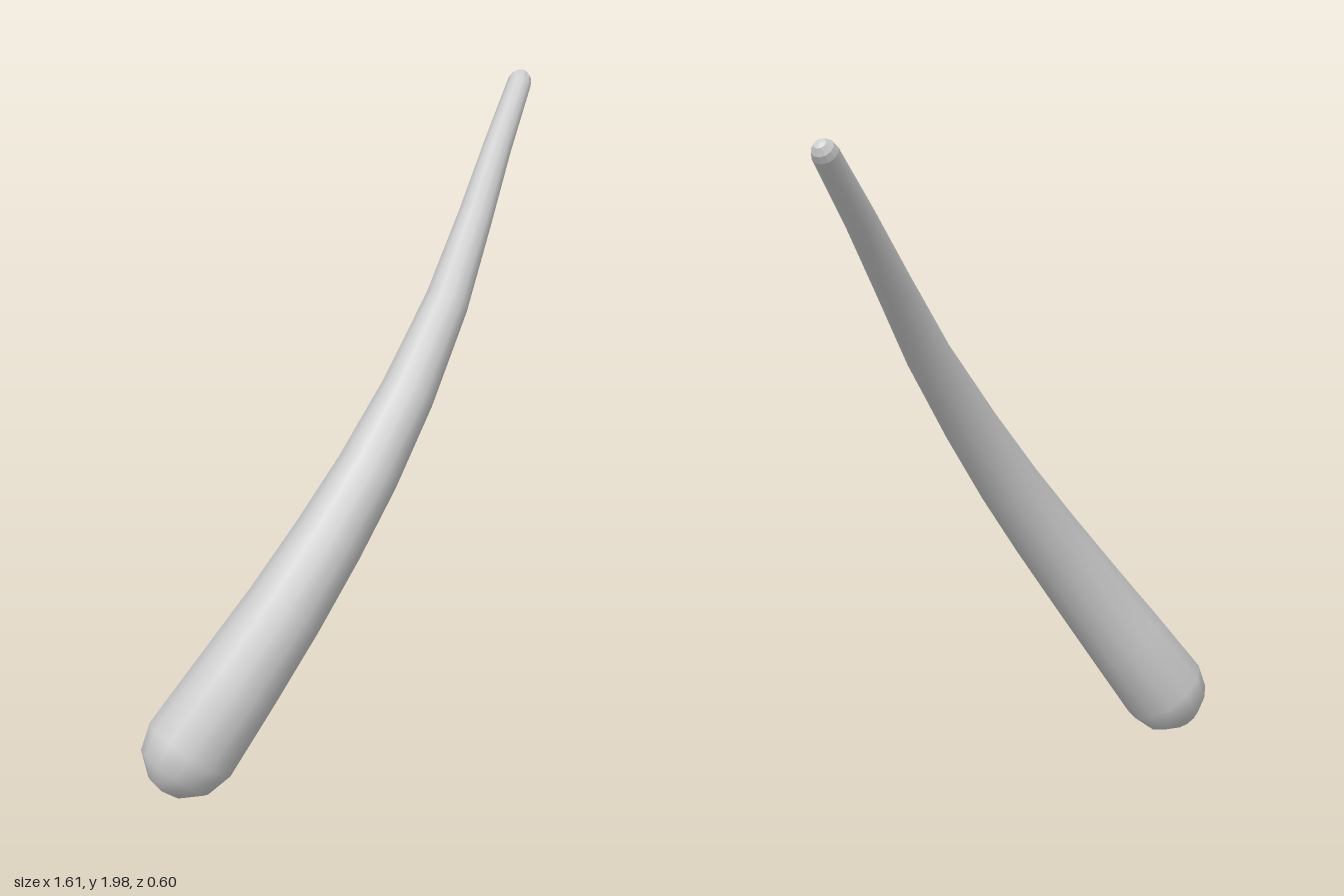
import * as THREE from 'three';

const SIDES = 12;

// Centreline stations from the thick base to the thin end: x, y, z, radius
const STATIONS = [
  [-0.672, 0.148, 0.132, 0.139],
  [-0.535, 0.335, 0.163, 0.129],
  [-0.388, 0.529, 0.187, 0.117],
  [-0.24, 0.715, 0.189, 0.106],
  [-0.097, 0.894, 0.177, 0.095],
  [0.065, 1.1, 0.142, 0.082],
  [0.26, 1.34, 0.062, 0.067],
  [0.44, 1.57, -0.045, 0.054],
  [0.6, 1.765, -0.152, 0.045],
  [0.76, 1.95, -0.255, 0.038],
];

// Skin of rings { p, t, r } facing outwards along t
function skin(rings) {
  const pos = [], index = [];
  for (const { p, t, r } of rings) {
    const u = new THREE.Vector3(0, 0, 1).cross(t).normalize();
    const v = new THREE.Vector3().crossVectors(t, u);
    for (let j = 0; j < SIDES; j++) {
      const a = (j / SIDES) * Math.PI * 2;
      const q = p.clone().addScaledVector(u, r * Math.cos(a)).addScaledVector(v, r * Math.sin(a));
      pos.push(q.x, q.y, q.z);
    }
  }
  for (let i = 0; i < rings.length - 1; i++) {
    for (let j = 0; j < SIDES; j++) {
      const k = (j + 1) % SIDES;
      const a = i * SIDES + j, b = i * SIDES + k;
      index.push(a, b, b + SIDES, a, b + SIDES, a + SIDES);
    }
  }
  const g = new THREE.BufferGeometry();
  g.setAttribute('position', new THREE.Float32BufferAttribute(pos, 3));
  g.setIndex(index);
  g.computeVertexNormals();
  return g;
}

// Ring moved along its own axis and scaled, for the caps
const offset = (ring, along, scale) => ({
  p: ring.p.clone().addScaledVector(ring.t, along * ring.r),
  t: ring.t,
  r: ring.r * scale,
});

export function createModel() {
  const group = new THREE.Group();
  group.name = 'curvedHorn';

  const pts = STATIONS.map(([x, y, z]) => new THREE.Vector3(x, y, z));
  const last = pts.length - 1;
  const rings = pts.map((p, i) => ({
    p,
    t: pts[Math.min(i + 1, last)].clone().sub(pts[Math.max(i - 1, 0)]).normalize(),
    r: STATIONS[i][3],
  }));

  // Tapering body with a rounded base
  const base = [[-1.03, 0.001], [-0.93, 0.4], [-0.56, 0.83]].map(([d, s]) => offset(rings[0], d, s));
  const body = new THREE.Mesh(
    skin([...base, ...rings]),
    new THREE.MeshStandardMaterial({ color: 0xcccccc })
  );
  body.name = 'body';

  // Small blunt faceted tip
  const end = rings[last];
  const tip = new THREE.Mesh(
    skin([end, offset(end, 0.55, 0.85), offset(end, 1.0, 0.45), offset(end, 1.1, 0.001)]),
    new THREE.MeshStandardMaterial({ color: 0xcccccc, flatShading: true })
  );
  tip.name = 'tip';

  group.add(body, tip);
  return group;
}
